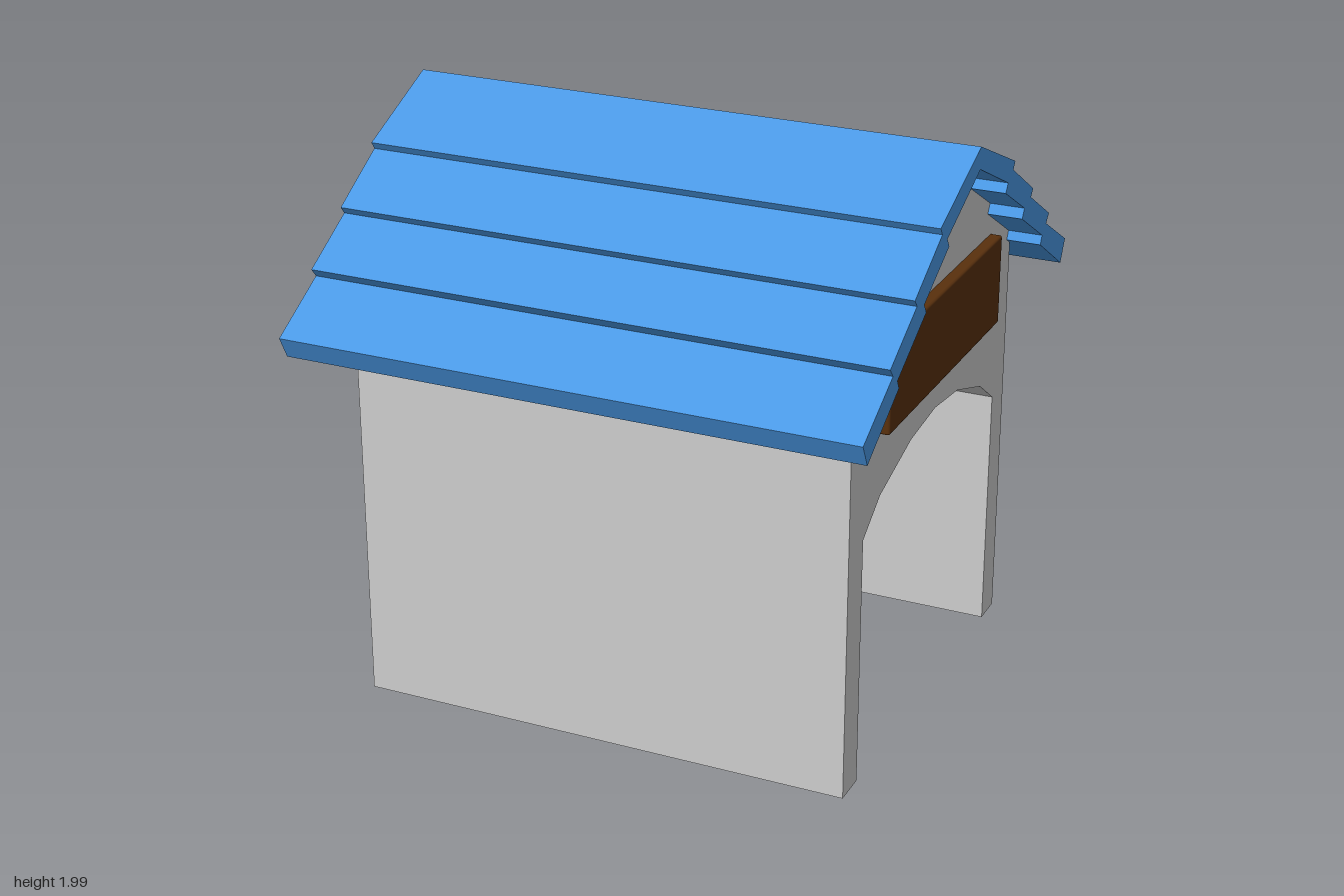
import * as THREE from 'three';
import { RoundedBoxGeometry } from 'three/addons/geometries/RoundedBoxGeometry.js';

function part(name, geometry, color) {
  const mesh = new THREE.Mesh(geometry, new THREE.MeshStandardMaterial({ color }));
  mesh.name = name;
  return mesh;
}

// Extrudes a profile of [-z, y] points along x, starting at x0
function extrudeAlongX(points, x0, depth, steps, reshape) {
  const shape = new THREE.Shape(points.map(([a, b]) => new THREE.Vector2(a, b)));
  const geometry = new THREE.ExtrudeGeometry(shape, { depth, steps, bevelEnabled: false });
  if (reshape) {
    const pos = geometry.attributes.position;
    const v = new THREE.Vector3();
    for (let i = 0; i < pos.count; i++) {
      reshape(v.fromBufferAttribute(pos, i));
      pos.setXYZ(i, v.x, v.y, v.z);
    }
    geometry.computeVertexNormals();
  }
  return geometry.rotateY(Math.PI / 2).translate(x0, 0, 0);
}

export function createModel() {
  const group = new THREE.Group();
  group.name = 'kennel';

  // House body: gable outline with an arched doorway cut from below
  const doorway = [
    [-0.63, 0.01], [-0.63, 0.875], [-0.49, 0.97], [-0.22, 1.05], [0, 1.073],
    [0.22, 1.05], [0.46, 0.97], [0.6, 0.875], [0.6, 0.01],
  ];
  const gable = [
    [0.715, 0.01], [0.715, 1.44], [0.52, 1.64], [0.3, 1.79], [0, 1.95],
    [-0.3, 1.79], [-0.52, 1.64], [-0.75, 1.43], [-0.75, 0.01],
  ];
  const depth = 1.73;
  const body = extrudeAlongX([...doorway, ...gable], -0.85, depth, 2, (v) => {
    const isDoorway = Math.abs(v.x) < 0.64 && v.y < 1.2;
    // The inner back wall tapers to a point at the foot of the outer one
    if (v.z < 0.01 && isDoorway) v.set(0, 0, 0);
    else if (Math.abs(v.z - depth / 2) < 0.01) v.z = 0.22;
  });
  group.add(part('houseBody', body, 0xcccccc));

  // Roof: stepped overlapping boards, mirrored about the ridge
  const top = [
    [0, 1.985], [0.355, 1.83], [0.338, 1.805], [0.565, 1.67], [0.545, 1.645],
    [0.76, 1.52], [0.735, 1.49], [0.97, 1.357],
  ];
  const underside = [
    [0.93, 1.28], [0.68, 1.43], [0.695, 1.46], [0.46, 1.595],
    [0.48, 1.627], [0.27, 1.745], [0.29, 1.775], [0, 1.91],
  ];
  const half = [...top, ...underside];
  const mirrored = half.slice(1, -1).reverse().map(([a, b]) => [-a, b]);
  group.add(part('roof', extrudeAlongX([...half, ...mirrored], -1, 2, 1), 0x4a98e4));

  // Plain wooden board above the doorway
  const board = part('signBoard', new RoundedBoxGeometry(0.045, 0.315, 1.04, 1, 0.008), 0x59300d);
  board.position.set(0.8985, 1.355, 0.015);
  group.add(board);

  return group;
}
